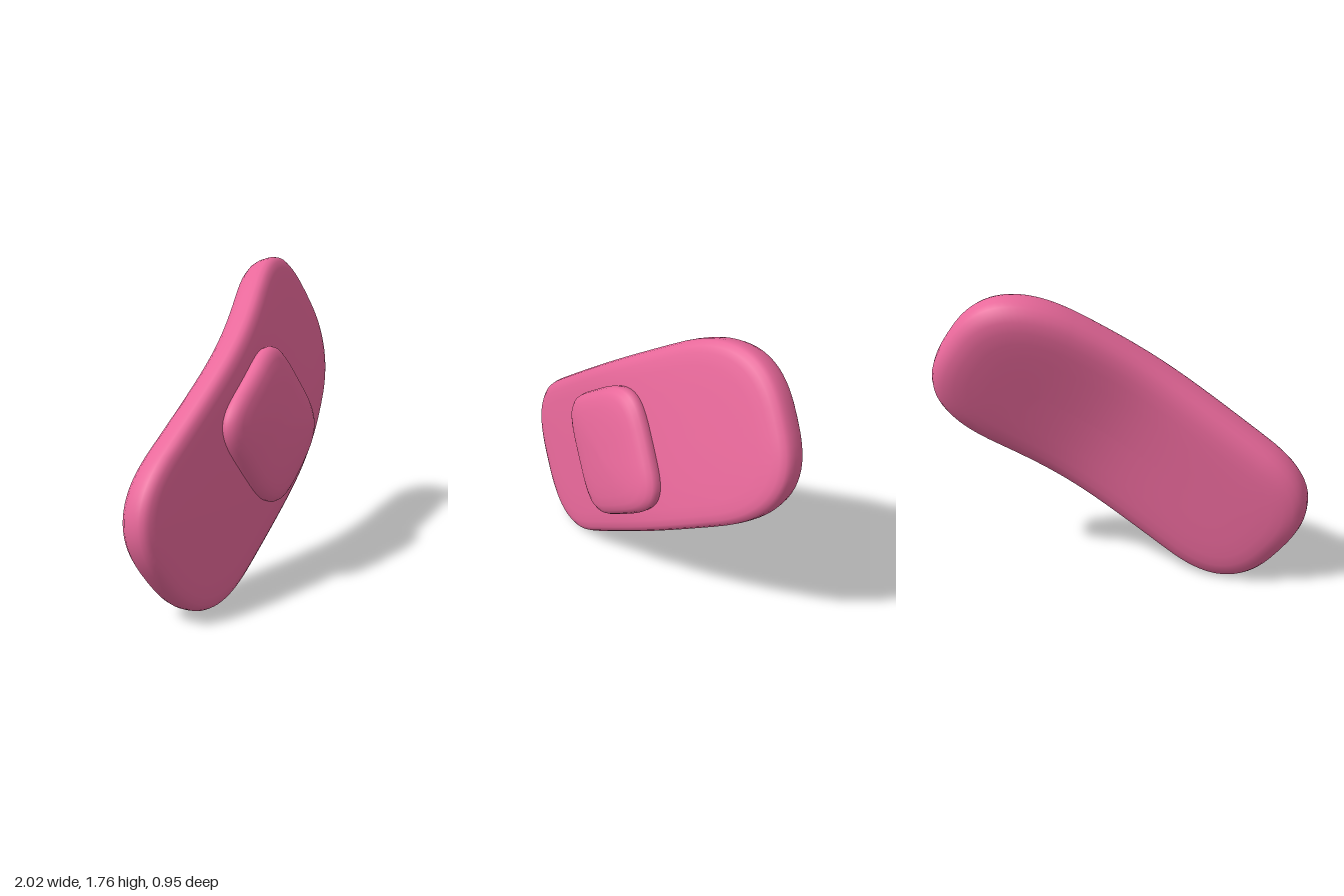
import * as THREE from 'three';

const TILT = 0.635; // in-plane rotation of the strip
const MID_Y = 0.875;
const ROLL = 0.04; // slight lean of the upper long edge towards the front

// Centre-line depth along the strip: gentle slope that bends away on one side
const bend = t => 0.16 - 0.205 * t - 0.42 * 0.16 * Math.log(1 + Math.exp((t - 0.2) / 0.16));

// Place a point given along-strip t, across-strip v and offset w along the surface normal
function place(t, v, w) {
  const slope = (bend(t + 0.01) - bend(t - 0.01)) / 0.02;
  const len = Math.hypot(slope, 1);
  const u = t - (slope / len) * w;
  const c = Math.cos(TILT), s = Math.sin(TILT);
  return [u * c - v * s, MID_Y + u * s + v * c, bend(t) + w / len + ROLL * v];
}

// Outline: superellipse ends joined by straight sides, counter-clockwise
function outline(straight, ru, rv, power) {
  const pts = [], arc = 36, side = straight > 0 ? 20 : 1;
  for (const sign of [1, -1]) {
    for (let i = 0; i <= arc; i++) {
      const a = -Math.PI / 2 + (Math.PI * i) / arc;
      const cx = Math.max(0, Math.cos(a)), sy = Math.sin(a);
      pts.push([
        sign * (straight + ru * cx ** (2 / power)),
        sign * rv * Math.sign(sy) * Math.abs(sy) ** (2 / power),
      ]);
    }
    for (let i = 1; i < side; i++) pts.push([sign * straight * (1 - (2 * i) / side), sign * rv]);
    if (straight === 0) pts.pop(); // ends meet, drop the shared point
  }
  return pts;
}

// Rounded slab from rings of [inset, normal offset], front to back
function slab({ centre, straight, ru, rv, power, rings }) {
  const pos = [], index = [];
  let n = 0;
  for (const [inset, w] of rings) {
    const ring = outline(straight, Math.max(ru - inset, 0), Math.max(rv - inset, 0), power);
    n = ring.length;
    for (const [u, v] of ring) pos.push(...place(centre[0] + u, centre[1] + v, w));
  }
  for (let r = 0; r < rings.length - 1; r++) {
    for (let k = 0; k < n; k++) {
      const a = r * n + k, b = r * n + ((k + 1) % n);
      index.push(a, a + n, b + n, a, b + n, b);
    }
  }
  const geo = new THREE.BufferGeometry();
  geo.setAttribute('position', new THREE.Float32BufferAttribute(pos, 3));
  geo.setIndex(index);
  geo.computeVertexNormals();
  return geo;
}

export function createModel() {
  const group = new THREE.Group();
  const material = new THREE.MeshStandardMaterial({ color: 0xe8689a });

  // Long bent strip: crisp front edge, softly rounded back
  const strip = new THREE.Mesh(slab({
    centre: [-0.005, 0], straight: 0.55, ru: 0.525, rv: 0.487, power: 2.7,
    rings: [
      [0.487, 0.114], [0.36, 0.114], [0.24, 0.113], [0.13, 0.111], [0.07, 0.106], [0.035, 0.097],
      [0.012, 0.08], [0.002, 0.055], [0, 0.025], [0, -0.012], [0.008, -0.048], [0.027, -0.08],
      [0.06, -0.106], [0.11, -0.121], [0.17, -0.128], [0.26, -0.131], [0.37, -0.132], [0.487, -0.132],
    ],
  }), material);
  strip.name = 'strip';

  // Raised square pad following the bend of the strip
  const pad = new THREE.Mesh(slab({
    centre: [0.008, -0.01], straight: 0, ru: 0.338, rv: 0.358, power: 4,
    rings: [
      [0.358, 0.217], [0.27, 0.216], [0.18, 0.212], [0.11, 0.206], [0.06, 0.197], [0.03, 0.184],
      [0.009, 0.165], [0, 0.14], [0.004, 0.105], [0.02, 0.08], [0.2, 0.06], [0.358, 0.06],
    ],
  }), material);
  pad.name = 'pad';

  group.add(strip, pad);
  return group;
}
